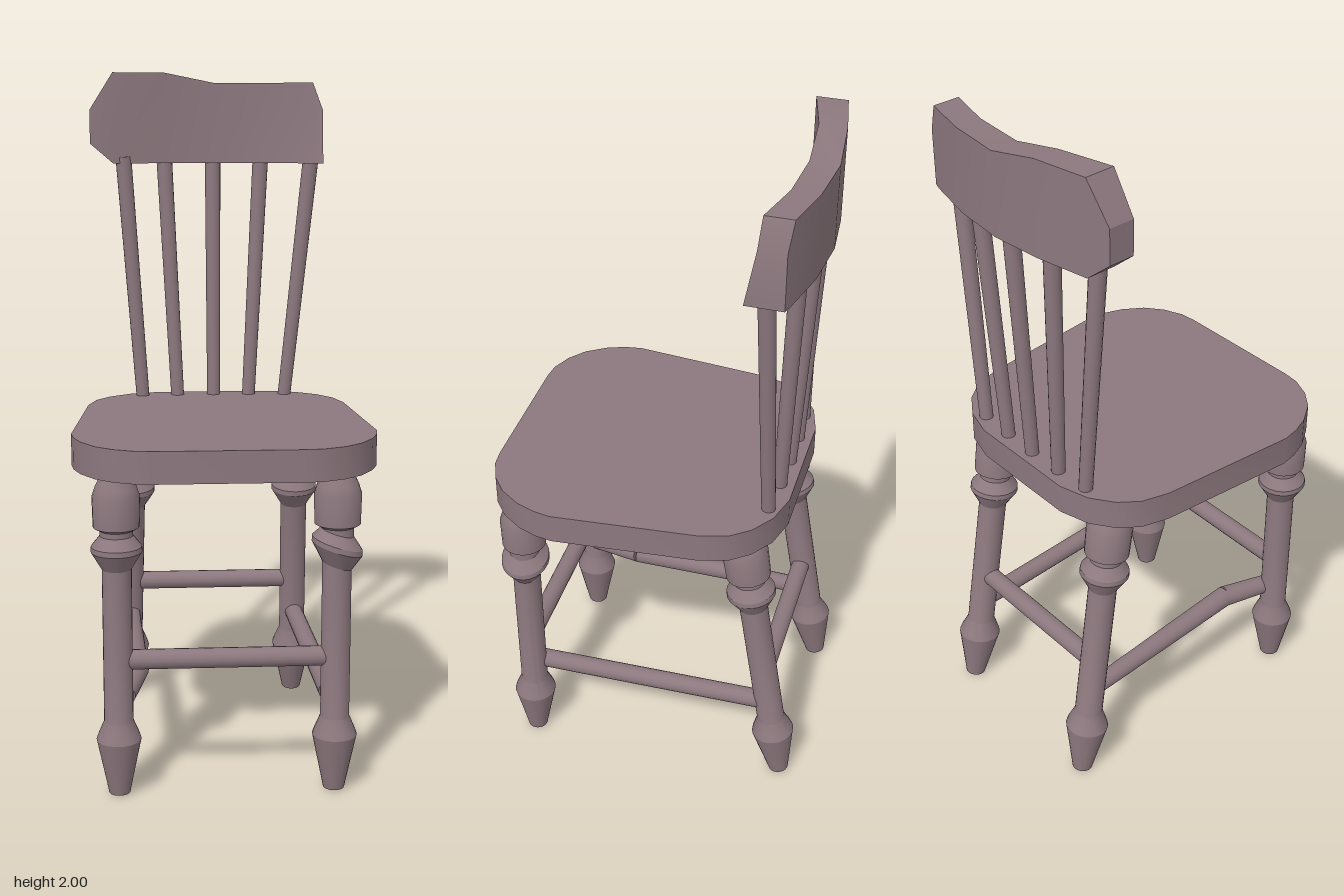
import * as THREE from 'three';
import { toCreasedNormals } from 'three/addons/utils/BufferGeometryUtils.js';

const wood = new THREE.MeshStandardMaterial({ color: 0x8c787e });
const UP = new THREE.Vector3(0, 1, 0);

function part(group, name, geometry) {
  const mesh = new THREE.Mesh(geometry, wood);
  mesh.name = name;
  group.add(mesh);
  return mesh;
}

// Round rod between two points, with a radius at each end
function rod(group, name, a, b, ra, rb = ra) {
  const from = new THREE.Vector3(...a), to = new THREE.Vector3(...b);
  const dir = to.clone().sub(from);
  const mesh = part(group, name, new THREE.CylinderGeometry(rb, ra, dir.length(), 16));
  mesh.position.copy(from).add(to).multiplyScalar(0.5);
  mesh.quaternion.setFromUnitVectors(UP, dir.normalize());
}

// Turned leg: foot, shaft, ring, groove and top block
const legProfile = [
  [0, 0.005], [0.03, 0.005], [0.035, 0.03], [0.063, 0.165], [0.058, 0.18], [0.041, 0.22],
  [0.041, 0.66], [0.071, 0.71], [0.07, 0.725], [0.046, 0.755], [0.046, 0.77],
  [0.064, 0.78], [0.066, 0.865], [0.058, 0.89], [0.042, 0.925], [0, 0.93],
].map(([r, y]) => new THREE.Vector2(r, y));

// foot and top are [x, z]; ringTilt slants the ring sideways
function leg(group, name, foot, top, ringTilt = 0) {
  const geo = new THREE.LatheGeometry(legProfile, 24);
  const p = geo.attributes.position;
  for (let i = 0; i < p.count; i++) {
    const x = p.getX(i), y = p.getY(i), z = p.getZ(i), t = y / 0.92;
    const tilt = y > 0.6 && y < 0.76 ? ringTilt * x : 0;
    p.setXYZ(i,
      x + foot[0] + (top[0] - foot[0]) * t,
      y + tilt + (top[1] - foot[1]) * z * 1.0,
      z + foot[1] + (top[1] - foot[1]) * t);
    // the ring and block lean with the leg axis
    p.setY(i, y + tilt - (top[1] - foot[1]) * z);
  }
  part(group, name, toCreasedNormals(geo, 0.45));
}

// Seat slab with rounded corners, wider at the front
function seatGeometry() {
  const half = [
    [0.2, 0.47], [0.25, 0.465], [0.31, 0.44], [0.36, 0.4], [0.4, 0.34], [0.42, 0.285],
    [0.428, 0.235], [0.39, -0.18], [0.367, -0.26], [0.325, -0.315], [0.26, -0.36], [0.17, -0.385],
  ];
  const outline = [...half, ...half.slice().reverse().map(([x, z]) => [-x, z])];
  const shape = new THREE.Shape(outline.map(([x, z]) => new THREE.Vector2(x, -z)));
  const geo = new THREE.ExtrudeGeometry(shape, { depth: 0.09, bevelEnabled: false });
  geo.rotateX(-Math.PI / 2).translate(0, 0.92, 0);
  return toCreasedNormals(geo, 0.6);
}

// Curved top rail lofted through upright four-cornered sections
function railGeometry() {
  // x, bottom y, top y, front z at bottom, front z at top, back z
  const sections = [
    [-0.375, 1.79, 1.89, -0.3, -0.3, -0.375],
    [-0.305, 1.73, 2.0, -0.3, -0.3, -0.387],
    [-0.15, 1.73, 2.0, -0.34, -0.34, -0.416],
    [0, 1.73, 1.97, -0.35, -0.35, -0.43],
    [0.16, 1.73, 1.97, -0.338, -0.34, -0.416],
    [0.3, 1.73, 1.97, -0.283, -0.305, -0.384],
    [0.33, 1.73, 1.89, -0.27, -0.3, -0.375],
  ];
  const pos = [], index = [];
  for (const [x, yb, yt, fb, ft, zb] of sections) {
    pos.push(x, yb, fb, x, yt, ft, x, yt, zb, x, yb, zb);
  }
  for (let s = 0; s < sections.length - 1; s++) {
    for (let k = 0; k < 4; k++) {
      const a = s * 4 + k, b = s * 4 + (k + 1) % 4;
      index.push(a, a + 4, b + 4, a, b + 4, b);
    }
  }
  const e = (sections.length - 1) * 4;
  index.push(0, 1, 2, 0, 2, 3, e, e + 2, e + 1, e, e + 3, e + 2);
  const geo = new THREE.BufferGeometry();
  geo.setAttribute('position', new THREE.Float32BufferAttribute(pos, 3));
  geo.setIndex(index);
  return toCreasedNormals(geo, 0.5);
}

export function createModel() {
  const chair = new THREE.Group();
  chair.name = 'chair';

  part(chair, 'seat', seatGeometry());
  part(chair, 'topRail', railGeometry());

  // Back spindles fanning out from the seat to the rail
  const spindles = [
    [-0.222, -0.337, -0.275, -0.325], [-0.113, -0.343, -0.15, -0.37], [0, -0.345, 0, -0.382],
    [0.11, -0.343, 0.147, -0.37], [0.222, -0.337, 0.298, -0.322],
  ];
  for (const [x0, z0, x1, z1] of spindles) {
    rod(chair, 'spindle', [x0, 1.0, z0], [x1, 1.75, z1], 0.02, 0.024);
  }

  // Legs: the front pair upright, the rear pair raked backwards
  leg(chair, 'frontLegRight', [-0.305, 0.37], [-0.305, 0.37]);
  leg(chair, 'frontLegLeft', [0.302, 0.37], [0.302, 0.37], -0.3);
  leg(chair, 'rearLegRight', [-0.278, -0.418], [-0.255, -0.272]);
  leg(chair, 'rearLegLeft', [0.262, -0.418], [0.25, -0.272]);

  // Stretchers between the legs
  rod(chair, 'frontStretcher', [-0.29, 0.397, 0.37], [0.29, 0.397, 0.37], 0.028);
  rod(chair, 'rearStretcher', [-0.25, 0.397, -0.355], [0.25, 0.397, -0.355], 0.028);
  rod(chair, 'sideStretcherLeft', [0.285, 0.288, 0.36], [0.26, 0.285, -0.37], 0.028);
  rod(chair, 'sideStretcherRight', [-0.285, 0.287, 0.36], [-0.25, 0.302, 0.2], 0.028, 0.032);
  rod(chair, 'sideStretcherRight', [-0.25, 0.302, 0.2], [-0.265, 0.285, -0.37], 0.032, 0.026);

  return chair;
}
